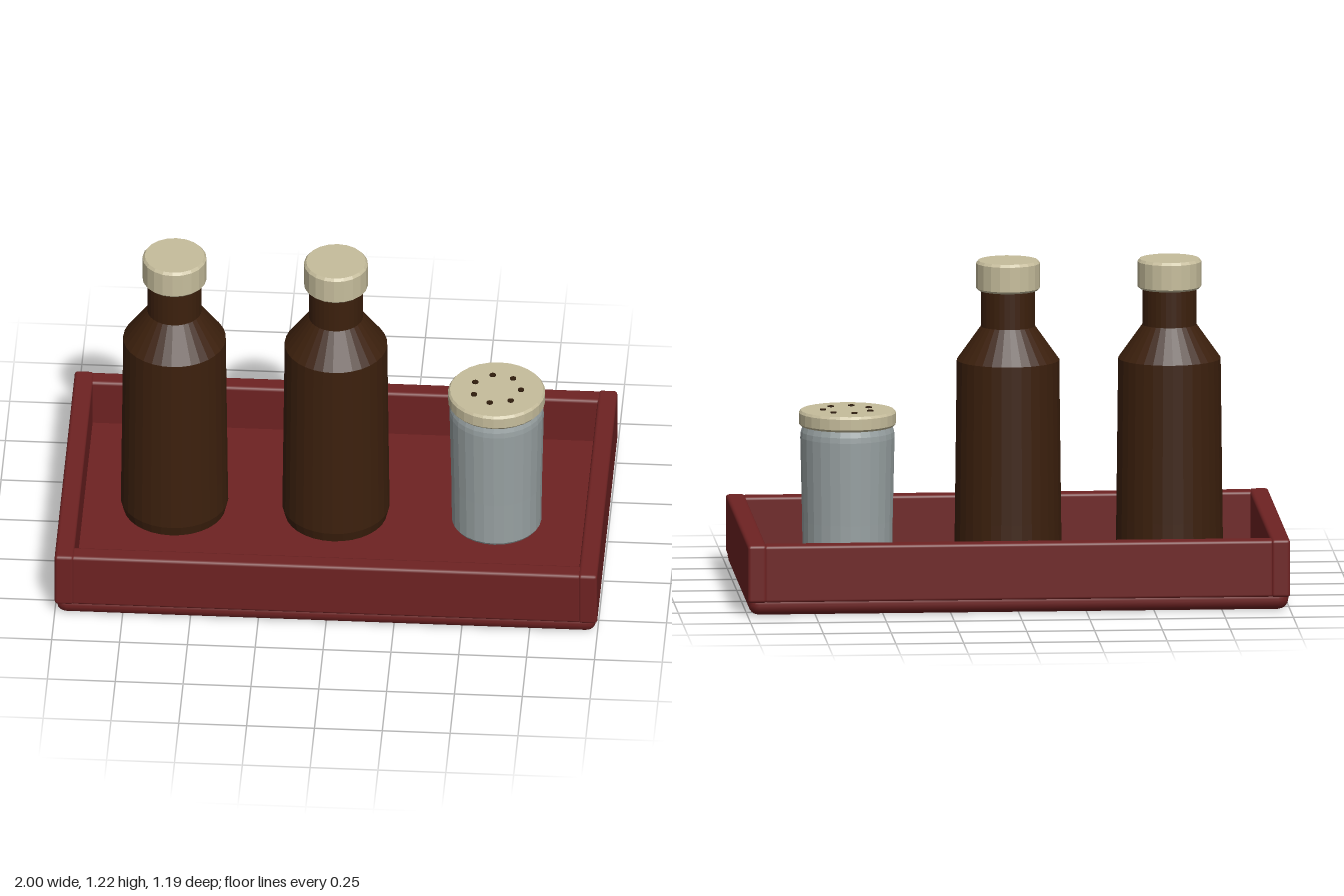
import * as THREE from 'three';
import { RoundedBoxGeometry } from 'three/addons/geometries/RoundedBoxGeometry.js';

const mat = (name, color) => {
  const m = new THREE.MeshStandardMaterial({ color });
  m.name = name;
  return m;
};

export function createModel() {
  const red = mat('tray red', 0x6e2222);
  const brown = mat('bottle brown', 0x3c200d);
  const cream = mat('cap cream', 0xc6bd9c);
  const grey = mat('shaker grey', 0x98a1a2);
  const dark = mat('hole dark', 0x2e1c0c);

  const add = (parent, name, geometry, material, x = 0, y = 0, z = 0) => {
    const mesh = new THREE.Mesh(geometry, material);
    mesh.name = name;
    mesh.position.set(x, y, z);
    parent.add(mesh);
    return mesh;
  };

  // Faceted turned shape from [radius, height] points, bottom to top
  const turned = (points, sides) => {
    const g = new THREE.LatheGeometry(points.map(p => new THREE.Vector2(...p)), sides).toNonIndexed();
    g.computeVertexNormals();
    return g;
  };

  const model = new THREE.Group();
  model.name = 'condimentTray';

  // Tray: rounded base and four walls
  const tray = new THREE.Group();
  tray.name = 'tray';
  model.add(tray);
  add(tray, 'trayBase', new RoundedBoxGeometry(1.99, 0.08, 1.18, 2, 0.038), red, 0, 0.04, 0);
  for (const s of [-1, 1]) {
    add(tray, s > 0 ? 'leftWall' : 'rightWall',
      new RoundedBoxGeometry(0.07, 0.215, 1.19, 2, 0.012), red, s * 0.965, 0.1555, 0);
    add(tray, s > 0 ? 'frontWall' : 'backWall',
      new RoundedBoxGeometry(1.88, 0.213, 0.07, 2, 0.012), red, 0, 0.1545, s * 0.557);
  }

  // Two bottles with caps
  const bottleShape = turned([[0, 0.075], [0.165, 0.075], [0.188, 0.09], [0.198, 0.13],
    [0.196, 0.26], [0.189, 0.85], [0.1, 0.975], [0.1, 1.12]], 32);
  const capShape = turned([[0, 1.11], [0.11, 1.11], [0.118, 1.118], [0.118, 1.21],
    [0.11, 1.22], [0, 1.22]], 20);
  [-0.595, 0].forEach((x, i) => {
    const bottle = new THREE.Group();
    bottle.name = `bottle${i + 1}`;
    bottle.position.x = x;
    model.add(bottle);
    add(bottle, 'bottleBody', bottleShape, brown);
    add(bottle, 'bottleCap', capShape, cream);
  });

  // Shaker with a perforated lid
  const shaker = new THREE.Group();
  shaker.name = 'shaker';
  shaker.position.x = 0.592;
  model.add(shaker);
  add(shaker, 'shakerBody', turned([[0, 0.075], [0.155, 0.075], [0.165, 0.09], [0.167, 0.26],
    [0.174, 0.57], [0.172, 0.59], [0.162, 0.62]], 28), grey);
  add(shaker, 'shakerLid', turned([[0, 0.612], [0.172, 0.612], [0.179, 0.62], [0.179, 0.66],
    [0.172, 0.669], [0, 0.669]], 28), cream);
  const holeShape = new THREE.CylinderGeometry(0.012, 0.012, 0.006, 10);
  for (let i = 0; i < 7; i++) {
    const a = (i / 7) * Math.PI * 2;
    add(shaker, 'shakerHole', holeShape, dark, Math.cos(a) * 0.09, 0.67, Math.sin(a) * 0.09);
  }

  return model;
}
